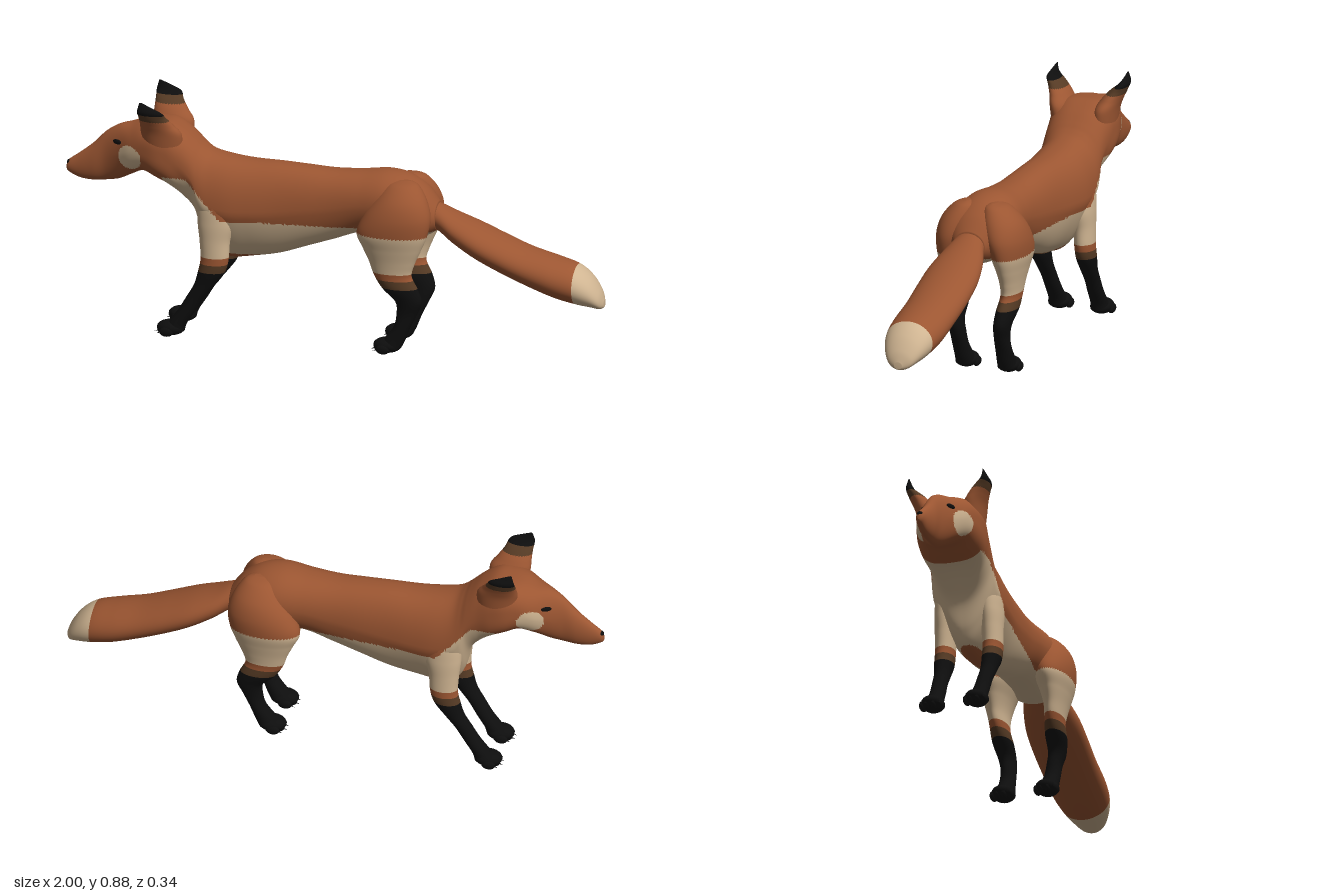
import * as THREE from 'three';

const paint = (name, color) => {
  const m = new THREE.MeshStandardMaterial({ color });
  m.name = name;
  return m;
};

export function createModel() {
  const fox = new THREE.Group();
  fox.name = 'fox';
  const materials = [
    paint('russet fur', 0x9c5632), paint('cream fur', 0xd0b592),
    paint('black fur', 0x0e0e0e), paint('dark brown fur', 0x553a24),
  ];
  const RUSSET = 0, CREAM = 1, BLACK = 2, BROWN = 3;

  // Smooth interpolation through a list of cross-section rows
  const sample = (rows, u) => {
    const t = u * (rows.length - 1), i = Math.min(Math.floor(t), rows.length - 2), f = t - i;
    const at = k => rows[Math.max(0, Math.min(rows.length - 1, k))];
    return rows[0].map((_, c) => {
      const a = at(i - 1)[c], b = at(i)[c], d = at(i + 1)[c], e = at(i + 2)[c];
      return b + 0.5 * f * (d - a + f * (2 * a - 5 * b + 4 * d - e + f * (3 * (b - d) + e - a)));
    });
  };
  const bend = (v, n) => Math.sign(v) * Math.abs(v) ** (2 / n);

  // Rows along x: x, top, bottom, half width, squareness, keel taper
  const alongX = ([x, top, bottom, w, n, keel], a) => {
    const s = bend(Math.sin(a), n);
    const taper = 1 - keel * Math.max(0, -s);
    return [x, (top + bottom) / 2 + s * (top - bottom) / 2, w * taper * bend(Math.cos(a), n)];
  };
  // Rows along y: y, x start, x end, z centre, z radius
  const alongY = side => ([y, x0, x1, z, r], a) =>
    [(x0 + x1) / 2 + Math.cos(a) * (x1 - x0) / 2, y, side * z + r * Math.sin(a)];

  // Skin the rows and sort the triangles into colours by their centre
  const loft = (name, rows, place, rule, nu, na) => {
    const pos = [], faces = [[], [], [], []];
    for (let i = 0; i <= nu; i++) {
      const row = sample(rows, i / nu);
      for (let j = 0; j < na; j++) pos.push(...place(row, (j / na) * Math.PI * 2));
    }
    const cap = i => {
      const c = [0, 0, 0];
      for (let j = 0; j < na; j++) for (let k = 0; k < 3; k++) c[k] += pos[(i * na + j) * 3 + k] / na;
      pos.push(...c);
      return pos.length / 3 - 1;
    };
    const first = cap(0), last = cap(nu);
    const tri = (...ids) => {
      const [x, y, z] = [0, 1, 2].map(k => ids.reduce((s, id) => s + pos[id * 3 + k] / 3, 0));
      faces[rule(x, y, z)].push(...ids);
    };
    for (let j = 0; j < na; j++) {
      const k = (j + 1) % na;
      tri(first, j, k);
      tri(last, nu * na + k, nu * na + j);
      for (let i = 0; i < nu; i++) {
        const a = i * na + j, b = i * na + k;
        tri(a, a + na, b);
        tri(b, a + na, b + na);
      }
    }
    const g = new THREE.BufferGeometry();
    g.setAttribute('position', new THREE.Float32BufferAttribute(pos, 3));
    g.setIndex(faces.flat());
    let start = 0;
    faces.forEach((f, m) => {
      if (f.length) g.addGroup(start, f.length, m);
      start += f.length;
    });
    g.computeVertexNormals();
    const mesh = new THREE.Mesh(g, materials);
    mesh.name = name;
    fox.add(mesh);
  };

  // Coat bands by height, with a rising throat bib and cheek patches
  const coat = (x, y) => {
    if (y > 0.84 || y < 0.253) return BLACK;
    if (y > 0.815 || y < 0.285) return BROWN;
    if (x < -0.62) return Math.hypot((x + 0.745) / 0.047, (y - 0.655) / 0.046) < 1 ? CREAM : RUSSET;
    const line = 0.455 + Math.min(0.145, Math.max(0, -0.4 - x) * 1.1);
    return y > 0.31 && y < line ? CREAM : RUSSET;
  };

  // Head, neck and trunk
  loft('headAndBody', [
    [-1.0, 0.585, 0.57, 0.004, 2, 0], [-0.99, 0.605, 0.558, 0.014, 2, 0],
    [-0.95, 0.635, 0.54, 0.022, 2, 0], [-0.9, 0.675, 0.535, 0.03, 2, 0],
    [-0.85, 0.725, 0.54, 0.037, 2, 0], [-0.8, 0.755, 0.55, 0.058, 2.1, 0.1],
    [-0.75, 0.768, 0.575, 0.088, 2.3, 0.1], [-0.7, 0.785, 0.597, 0.108, 2.6, 0],
    [-0.65, 0.79, 0.58, 0.122, 2.9, 0], [-0.6, 0.787, 0.555, 0.123, 2.9, 0],
    [-0.55, 0.76, 0.51, 0.118, 2.6, 0.15], [-0.51, 0.727, 0.455, 0.117, 2.4, 0.3],
    [-0.485, 0.705, 0.36, 0.12, 2.4, 0.45], [-0.45, 0.685, 0.305, 0.123, 2.3, 0.5],
    [-0.38, 0.67, 0.29, 0.124, 2.3, 0.45], [-0.3, 0.662, 0.3, 0.117, 2.3, 0.4],
    [-0.2, 0.66, 0.32, 0.107, 2.3, 0.3], [-0.1, 0.655, 0.355, 0.102, 2.3, 0.2],
    [0, 0.65, 0.39, 0.1, 2.3, 0.15], [0.1, 0.655, 0.425, 0.106, 2.2, 0.1],
    [0.2, 0.665, 0.43, 0.118, 2.1, 0], [0.28, 0.65, 0.42, 0.115, 2, 0],
    [0.34, 0.61, 0.43, 0.1, 2, 0], [0.385, 0.555, 0.455, 0.06, 2, 0],
  ], alongX, coat, 200, 112);

  // Brush tail with a pale tip
  loft('tail', [
    [0.33, 0.57, 0.48, 0.045, 2, 0], [0.39, 0.55, 0.452, 0.062, 2, 0],
    [0.45, 0.522, 0.41, 0.085, 2, 0], [0.53, 0.49, 0.362, 0.102, 2, 0],
    [0.62, 0.452, 0.318, 0.105, 2, 0], [0.72, 0.413, 0.275, 0.103, 2, 0],
    [0.82, 0.386, 0.238, 0.102, 2, 0], [0.9, 0.362, 0.218, 0.092, 2, 0],
    [0.95, 0.325, 0.21, 0.074, 2, 0], [0.985, 0.275, 0.204, 0.048, 2, 0],
    [1.0, 0.235, 0.21, 0.015, 2, 0],
  ], alongX, x => (x > 0.9 ? CREAM : RUSSET), 100, 48);

  const ear = [
    [0.7, -0.69, -0.55, 0.08, 0.04], [0.76, -0.7, -0.55, 0.088, 0.04],
    [0.795, -0.7, -0.575, 0.102, 0.036], [0.825, -0.7, -0.597, 0.121, 0.029],
    [0.85, -0.702, -0.61, 0.14, 0.017], [0.868, -0.698, -0.645, 0.142, 0.008],
    [0.885, -0.693, -0.685, 0.14, 0.002],
  ];
  const foreleg = [
    [0.02, -0.615, -0.54, 0.083, 0.035], [0.05, -0.6, -0.53, 0.083, 0.032],
    [0.1, -0.562, -0.498, 0.084, 0.029], [0.15, -0.532, -0.467, 0.086, 0.028],
    [0.2, -0.503, -0.427, 0.088, 0.03], [0.25, -0.488, -0.39, 0.09, 0.035],
    [0.3, -0.478, -0.375, 0.09, 0.036], [0.37, -0.482, -0.37, 0.088, 0.038],
    [0.44, -0.49, -0.355, 0.085, 0.042], [0.52, -0.49, -0.36, 0.075, 0.045],
    [0.58, -0.46, -0.38, 0.06, 0.03],
  ];
  const hindleg = [
    [0.02, 0.185, 0.265, 0.083, 0.037], [0.05, 0.2, 0.28, 0.083, 0.034],
    [0.1, 0.238, 0.3, 0.085, 0.03], [0.15, 0.25, 0.325, 0.087, 0.028],
    [0.2, 0.247, 0.345, 0.094, 0.031], [0.25, 0.2, 0.332, 0.1, 0.036],
    [0.3, 0.17, 0.31, 0.104, 0.033], [0.35, 0.153, 0.323, 0.108, 0.037],
    [0.4, 0.13, 0.345, 0.109, 0.048], [0.455, 0.107, 0.367, 0.106, 0.064],
    [0.52, 0.13, 0.377, 0.095, 0.075], [0.58, 0.17, 0.36, 0.08, 0.07],
    [0.63, 0.21, 0.325, 0.06, 0.045], [0.645, 0.25, 0.29, 0.05, 0.01],
  ];

  const ball = new THREE.SphereGeometry(1, 20, 14);
  const blob = (parent, name, material, [x, y, z], size) => {
    const mesh = new THREE.Mesh(ball, materials[material]);
    mesh.name = name;
    mesh.position.set(x, y, z);
    mesh.scale.set(...size);
    parent.add(mesh);
    return mesh;
  };

  // Paw with four toes and curved-down claws
  const clawShape = new THREE.ConeGeometry(0.005, 0.03, 8);
  const paw = (name, x, z) => {
    const g = new THREE.Group();
    g.name = name;
    g.position.set(x, 0, z);
    blob(g, 'pawPad', BLACK, [0.055, 0.029, 0], [0.052, 0.028, 0.042]);
    for (let i = -1.5; i <= 1.5; i++) {
      const reach = Math.abs(i) > 1 ? 0.012 : 0;
      blob(g, 'toe', BLACK, [0.034 + reach, 0.02, i * 0.023], [0.026, 0.018, 0.0125]);
      const claw = new THREE.Mesh(clawShape, materials[BLACK]);
      claw.name = 'claw';
      claw.position.set(0.011 + reach, 0.018, i * 0.024);
      claw.rotation.z = Math.PI / 2 + 0.35;
      g.add(claw);
    }
    fox.add(g);
  };

  // Mirrored parts
  for (const side of [1, -1]) {
    const label = side > 0 ? 'Near' : 'Far';
    const place = alongY(side);
    loft('ear' + label, ear, place, coat, 60, 32);
    loft('foreleg' + label, foreleg, place, coat, 110, 40);
    loft('hindleg' + label, hindleg, place, coat, 128, 56);
    paw('forepaw' + label, -0.645, side * 0.083);
    paw('hindpaw' + label, 0.16, side * 0.083);
    const eye = blob(fox, 'eye' + label, BLACK, [-0.798, 0.702, side * 0.054], [0.02, 0.009, 0.006]);
    eye.rotation.y = -side * 0.5;
  }

  // Nose
  blob(fox, 'nose', BLACK, [-0.987, 0.593, 0], [0.012, 0.013, 0.012]);
  return fox;
}
